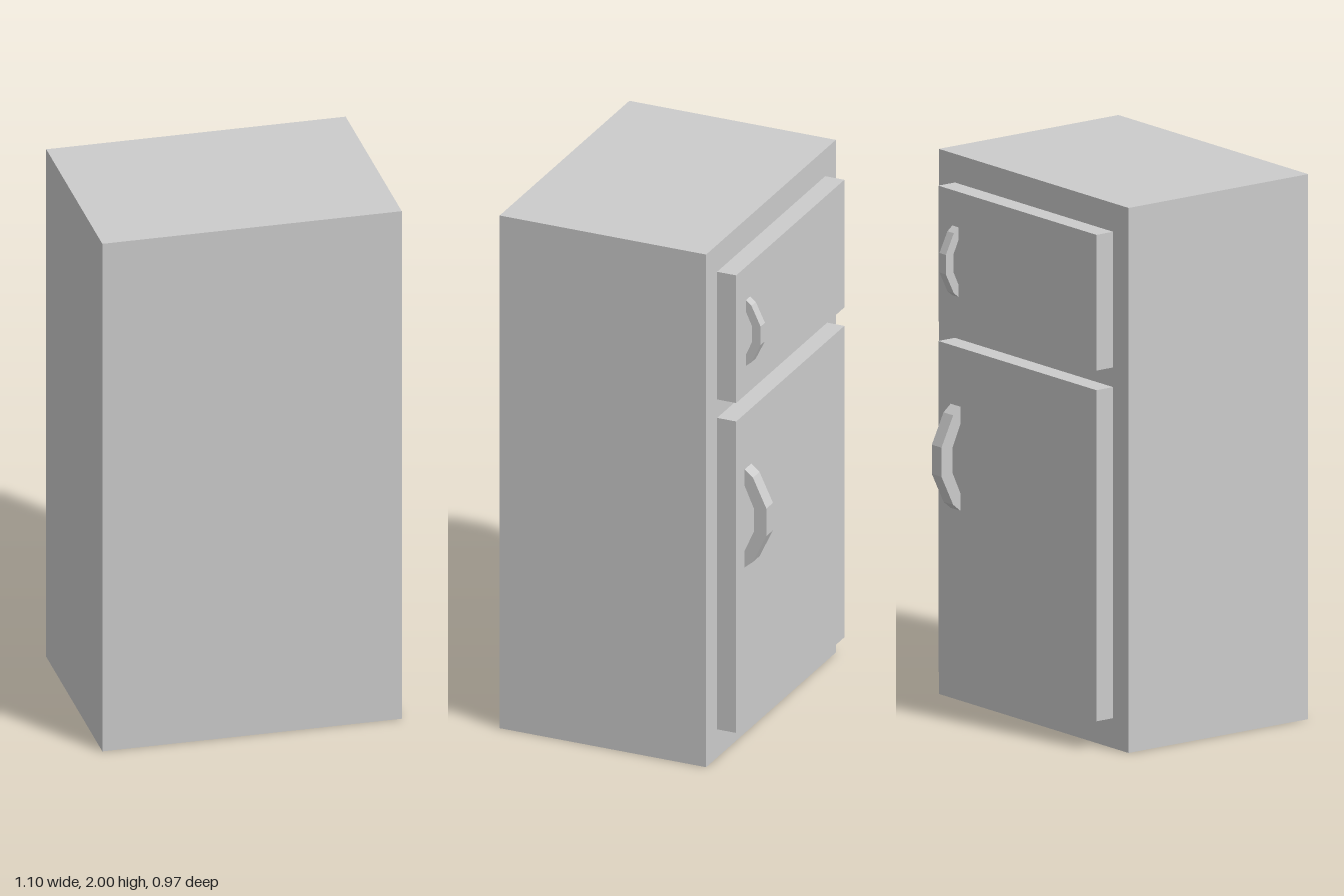
import * as THREE from 'three';

const material = new THREE.MeshStandardMaterial({ color: 0xcccccc, flatShading: true });
const BODY_BACK = -0.325, DOOR_FACE = -0.4;

// Box given by its lower and upper limits on each axis
function box(name, [x0, x1], [y0, y1], [z0, z1]) {
  const mesh = new THREE.Mesh(new THREE.BoxGeometry(x1 - x0, y1 - y0, z1 - z0), material);
  mesh.position.set((x0 + x1) / 2, (y0 + y1) / 2, (z0 + z1) / 2);
  mesh.name = name;
  return mesh;
}

// Faceted bow handle: a side outline (depth, height) extruded across its width
function handle(name, y, height, depth, width) {
  const h = height / 2;
  const outer = [[0, 1], [0.38, 0.86], [1, 0.28]];
  const inner = [[0, 0.66], [0.42, 0.24]];
  const mirrored = (half) => [...half, ...half.map(([d, v]) => [d, -v]).reverse()];
  const outline = [...mirrored(outer), ...mirrored(inner).reverse()];
  const shape = new THREE.Shape(outline.map(([d, v]) => new THREE.Vector2(d * depth, v * h)));
  const geometry = new THREE.ExtrudeGeometry(shape, { depth: width, bevelEnabled: false });
  geometry.translate(0, 0, -width / 2);
  geometry.rotateY(Math.PI / 2); // depth now points to -z, width along x
  const mesh = new THREE.Mesh(geometry, material);
  mesh.position.set(0.357, y, DOOR_FACE);
  mesh.name = name;
  return mesh;
}

export function createModel() {
  const group = new THREE.Group();
  group.name = 'refrigerator';

  // Cabinet
  group.add(box('cabinet', [-0.55, 0.55], [0, 2], [BODY_BACK, 0.485]));

  // Freezer and main doors
  group.add(box('freezerDoor', [-0.46, 0.457], [1.397, 1.895], [DOOR_FACE, BODY_BACK]));
  group.add(box('mainDoor', [-0.46, 0.457], [0.11, 1.325], [DOOR_FACE, BODY_BACK]));

  // Handles
  group.add(handle('freezerHandle', 1.637, 0.256, 0.058, 0.037));
  group.add(handle('mainHandle', 0.918, 0.382, 0.085, 0.056));

  return group;
}
